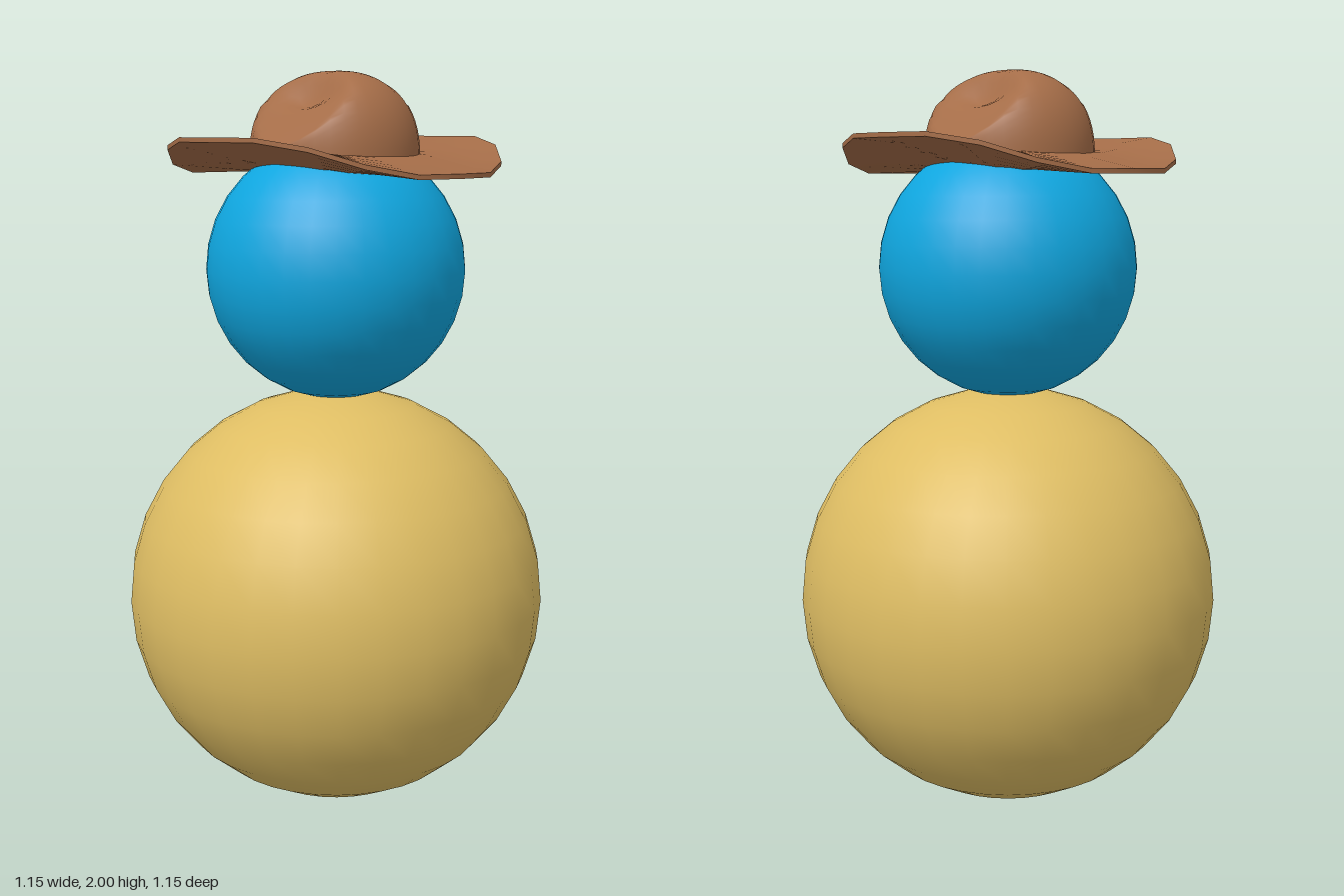
import * as THREE from 'three';
import { mergeVertices, toCreasedNormals } from 'three/addons/utils/BufferGeometryUtils.js';

const material = (color) => new THREE.MeshStandardMaterial({ color });
const clamp = THREE.MathUtils.clamp;
const lerp = THREE.MathUtils.lerp;

function addMesh(parent, name, geometry, mat) {
  const mesh = new THREE.Mesh(geometry, mat);
  mesh.name = name;
  parent.add(mesh);
  return mesh;
}

// Move every vertex of a geometry by a rule
function reshape(geometry, rule) {
  const pos = geometry.attributes.position;
  const v = new THREE.Vector3();
  for (let i = 0; i < pos.count; i++) {
    rule(v.fromBufferAttribute(pos, i));
    pos.setXYZ(i, v.x, v.y, v.z);
  }
  return geometry;
}

// Crown: a dome cut by a roof-like ridge, with a dent pinched into each side
function crownGeometry() {
  const geo = new THREE.RingGeometry(0, 1, 36, 18).rotateX(-Math.PI / 2);
  reshape(geo, (v) => {
    const r = Math.min(1, Math.hypot(v.x, v.z));
    const spread = r > 0 ? Math.sin(r * Math.PI / 2) / r : 1; // denser rings near the rim
    const t = Math.min(1, r * spread);
    v.x *= 0.222 * spread;
    v.z *= 0.233 * spread;
    const dome = 1.775 + 0.225 * Math.pow(Math.max(0, 1 - Math.pow(t, 2.6)), 0.45);
    const roof = 2.0 - 1.1 * Math.max(0, Math.hypot(v.x, 0.02) - 0.045);
    const dent = 0.04 * Math.exp(-(((Math.abs(v.x) - 0.085) / 0.035) ** 2) - (v.z / 0.09) ** 2);
    v.y = Math.min(dome, roof) - dent;
  });
  geo.deleteAttribute('uv');
  geo.deleteAttribute('normal');
  const merged = mergeVertices(geo, 1e-4);
  merged.computeVertexNormals();
  return merged;
}

// Brim: a thin ring, low at front and back and turned up at the sides
function brimGeometry() {
  const inner = 0.2, outer = 0.443, steps = 5;
  const profile = [];
  for (let i = 0; i <= steps; i++) profile.push(new THREE.Vector2(lerp(inner, outer, i / steps), 0));
  for (let i = steps; i >= 0; i--) profile.push(new THREE.Vector2(lerp(inner, outer, i / steps), 1));
  const geo = new THREE.LatheGeometry(profile, 20);
  reshape(geo, (v) => {
    const r = Math.hypot(v.x, v.z);
    const t = (r - inner) / (outer - inner);
    const side = Math.abs(v.x) / r;
    const edge = 1.742 + 0.088 * clamp((side * outer - 0.2) / 0.21, 0, 1);
    const top = lerp(1.788, edge, t);
    const under = lerp(1.738 + 0.02 * side ** 6, edge - 0.012, t);
    v.y = v.y > 0.5 ? top : Math.min(under, top - 0.01);
  });
  geo.deleteAttribute('uv');
  geo.deleteAttribute('normal');
  return toCreasedNormals(geo, 0.7);
}

export function createModel() {
  const model = new THREE.Group();
  model.name = 'figure';

  // Two stacked balls
  addMesh(model, 'body', new THREE.SphereGeometry(0.575, 32, 16), material(0xdebd63)).position.y = 0.577;
  addMesh(model, 'head', new THREE.SphereGeometry(0.35, 32, 16), material(0x0fa6df)).position.y = 1.48;

  // Hat with a pinched crown
  const hat = new THREE.Group();
  hat.name = 'hat';
  hat.position.set(0.005, 0, -0.01);
  const felt = material(0xa56d48);
  addMesh(hat, 'hatCrown', crownGeometry(), felt);
  addMesh(hat, 'hatBrim', brimGeometry(), felt);
  model.add(hat);

  return model;
}
